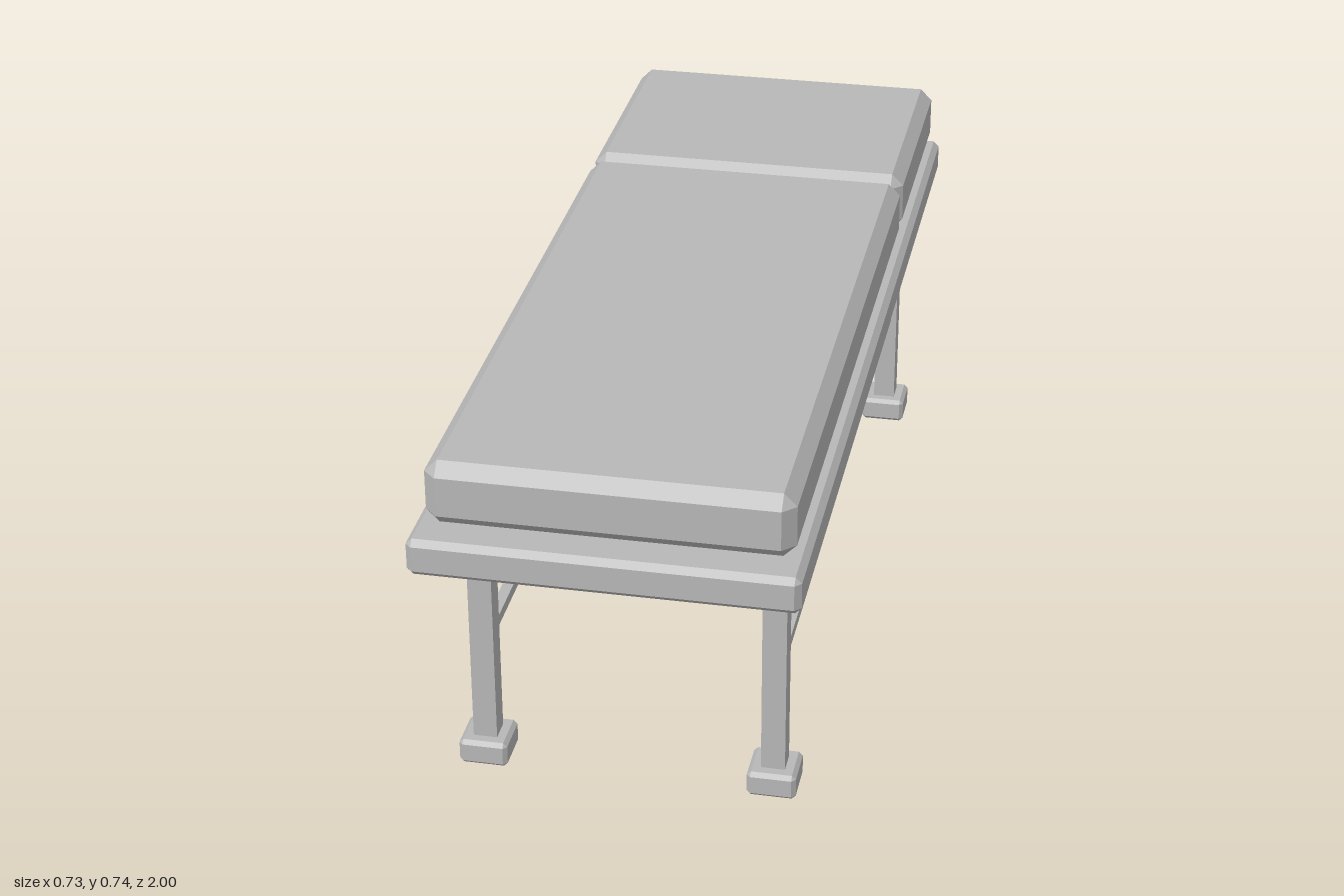
import * as THREE from 'three';
import { ConvexGeometry } from 'three/addons/geometries/ConvexGeometry.js';

// Box with flat chamfered edges and corners: each corner gives three points.
function chamferBox(w, h, d, c) {
  const points = [];
  for (const sx of [-1, 1]) for (const sy of [-1, 1]) for (const sz of [-1, 1]) {
    const x = sx * w / 2, y = sy * h / 2, z = sz * d / 2;
    points.push(
      new THREE.Vector3(x, y - sy * c, z - sz * c),
      new THREE.Vector3(x - sx * c, y, z - sz * c),
      new THREE.Vector3(x - sx * c, y - sy * c, z));
  }
  return new ConvexGeometry(points);
}

export function createModel() {
  const model = new THREE.Group();
  model.name = 'treatmentTable';
  const grey = new THREE.MeshStandardMaterial({ color: 0xb8b8b8 });
  grey.name = 'plain grey';

  function add(name, geometry, x, y, z) {
    const mesh = new THREE.Mesh(geometry, grey);
    mesh.name = name;
    mesh.position.set(x, y, z);
    model.add(mesh);
  }

  // Table top and its two cushions
  add('tabletop', chamferBox(0.73, 0.075, 1.99, 0.012), 0, 0.573, 0.005);
  add('mainCushion', chamferBox(0.688, 0.13, 1.402, 0.025), 0, 0.675, 0.243);
  add('headCushion', chamferBox(0.688, 0.13, 0.539, 0.025), 0, 0.675, -0.7305);

  // Legs with feet, and one long rail on each side
  const legGeometry = new THREE.BoxGeometry(0.047, 0.5, 0.047);
  const footGeometry = chamferBox(0.096, 0.053, 0.098, 0.008);
  const railGeometry = new THREE.BoxGeometry(0.022, 0.022, 1.5);
  for (const [side, x] of [['left', 0.285], ['right', -0.285]]) {
    for (const [end, z] of [['Front', 0.773], ['Back', -0.762]]) {
      add(side + end + 'Leg', legGeometry, x, 0.29, z);
      add(side + end + 'Foot', footGeometry, x, 0.0275, z);
    }
    add(side + 'Rail', railGeometry, x, 0.266, 0.005);
  }
  return model;
}
